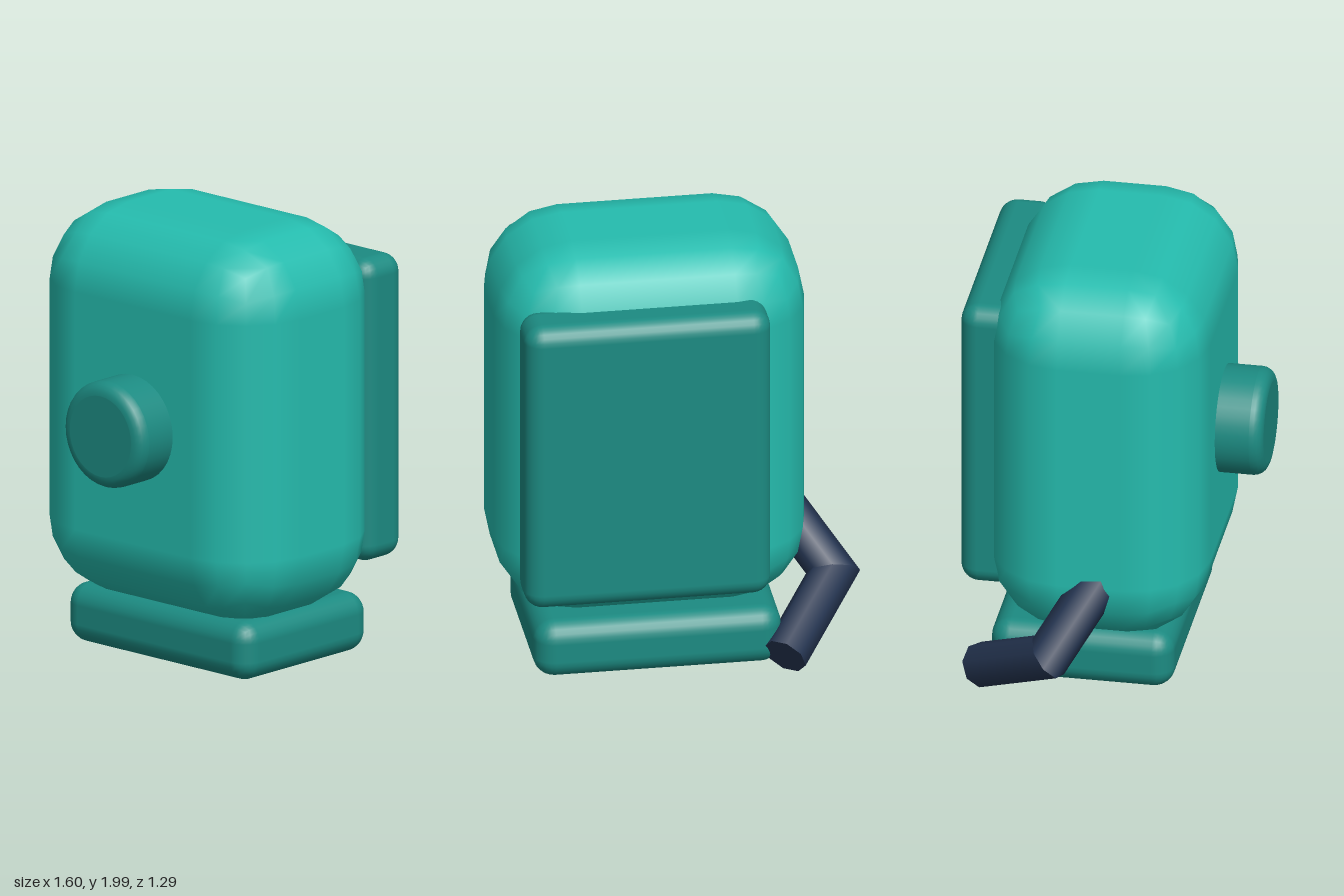
import * as THREE from 'three';

const mat = (name, color) => {
  const m = new THREE.MeshStandardMaterial({ color });
  m.name = name;
  return m;
};

// Rounded box given by its minimum and maximum corners; each edge is an even arc of 2n steps
function roundedBox(name, min, max, radius, n, material) {
  const half = max.map((v, i) => (v - min[i]) / 2);
  const segs = 2 * n + 1;
  const g = new THREE.BoxGeometry(2, 2, 2, segs, segs, segs);
  const pos = g.attributes.position, nor = g.attributes.normal;
  const dir = new THREE.Vector3();
  for (let v = 0; v < pos.count; v++) {
    const p = [pos.getX(v), pos.getY(v), pos.getZ(v)];
    // grid step to even angle; the middle cell becomes the flat face
    dir.fromArray(p.map((c) => {
      const k = Math.round(((c + 1) / 2) * segs);
      return Math.tan(((k <= n ? k - n : k - n - 1) / n) * Math.PI / 4);
    })).normalize();
    nor.setXYZ(v, dir.x, dir.y, dir.z);
    pos.setXYZ(v, ...dir.toArray().map((d, i) => d * radius + Math.sign(p[i]) * (half[i] - radius)));
  }
  const mesh = new THREE.Mesh(g, material);
  mesh.position.set(...max.map((v, i) => (v + min[i]) / 2));
  mesh.name = name;
  return mesh;
}

// Two-segment pipe with a mitred elbow and flat ends
function bentPipe(start, elbow, end, radius, sides) {
  const d1 = elbow.clone().sub(start).normalize();
  const d2 = end.clone().sub(elbow).normalize();
  const u = d1.clone().cross(d2).normalize();
  const v1 = d1.clone().cross(u), v2 = d2.clone().cross(u);
  const vm = v1.clone().add(v2).normalize();
  vm.divideScalar(vm.dot(v1));
  const around = (i, v) => {
    const a = ((i + 0.5) / sides) * Math.PI * 2;
    return u.clone().multiplyScalar(Math.cos(a)).addScaledVector(v, Math.sin(a));
  };
  const ring = (c, v) => Array.from({ length: sides }, (_, i) => around(i, v).multiplyScalar(radius).add(c));
  const rings = [ring(start, v1), ring(elbow, vm), ring(end, v2)];
  const pos = [], nor = [];
  const add = (p, n) => { pos.push(p.x, p.y, p.z); nor.push(n.x, n.y, n.z); };
  const back = d1.clone().negate();
  for (let i = 0; i < sides; i++) {
    const j = (i + 1) % sides;
    // walls
    [v1, v2].forEach((v, s) => {
      const A = rings[s], B = rings[s + 1];
      const ni = around(i, v), nj = around(j, v);
      add(A[i], ni); add(A[j], nj); add(B[j], nj);
      add(A[i], ni); add(B[j], nj); add(B[i], ni);
    });
    // end caps
    add(start, back); add(rings[0][j], back); add(rings[0][i], back);
    add(end, d2); add(rings[2][i], d2); add(rings[2][j], d2);
  }
  const g = new THREE.BufferGeometry();
  g.setAttribute('position', new THREE.Float32BufferAttribute(pos, 3));
  g.setAttribute('normal', new THREE.Float32BufferAttribute(nor, 3));
  return g;
}

// Round knob along +y with a rounded front rim
function knobGeometry(radius, depth, bevel) {
  const pts = [new THREE.Vector2(radius, 0), new THREE.Vector2(radius, depth - bevel - 0.002)];
  for (let i = 0; i <= 5; i++) {
    const a = (i / 5) * Math.PI / 2;
    pts.push(new THREE.Vector2(radius - bevel + bevel * Math.cos(a), depth - bevel + bevel * Math.sin(a)));
  }
  pts.push(new THREE.Vector2(radius - bevel - 0.002, depth), new THREE.Vector2(0, depth));
  return new THREE.LatheGeometry(pts, 36);
}

export function createModel() {
  const model = new THREE.Group();
  model.name = 'roundedTank';
  const teal = mat('teal', 0x25bcae);
  const darkTeal = mat('darkTeal', 0x1c8b82);
  const navy = mat('navy', 0x243450);

  // Main body, back panel and foot
  model.add(roundedBox('body', [-0.56, 0.255, -0.515], [0.8, 2, 0.44], 0.34, 2, teal));
  model.add(roundedBox('backPanel', [-0.35, 0.44, -0.645], [0.73, 1.8, -0.39], 0.08, 3, darkTeal));
  model.add(roundedBox('base', [-0.42, 0.03, -0.5], [0.665, 0.295, 0.305], 0.09, 3, darkTeal));

  // Front knob
  const knob = new THREE.Mesh(knobGeometry(0.237, 0.285, 0.055), darkTeal);
  knob.name = 'frontKnob';
  knob.rotation.x = Math.PI / 2;
  knob.position.set(0.122, 1.118, 0.36);
  model.add(knob);

  // Bent pipe leaving the lower right side and pointing backwards
  const pipe = new THREE.Mesh(bentPipe(
    new THREE.Vector3(-0.44, 0.637, 0.022),
    new THREE.Vector3(-0.685, 0.312, -0.19),
    new THREE.Vector3(-0.42, 0.095, -0.535), 0.1, 8), navy);
  pipe.name = 'bentPipe';
  model.add(pipe);

  return model;
}
